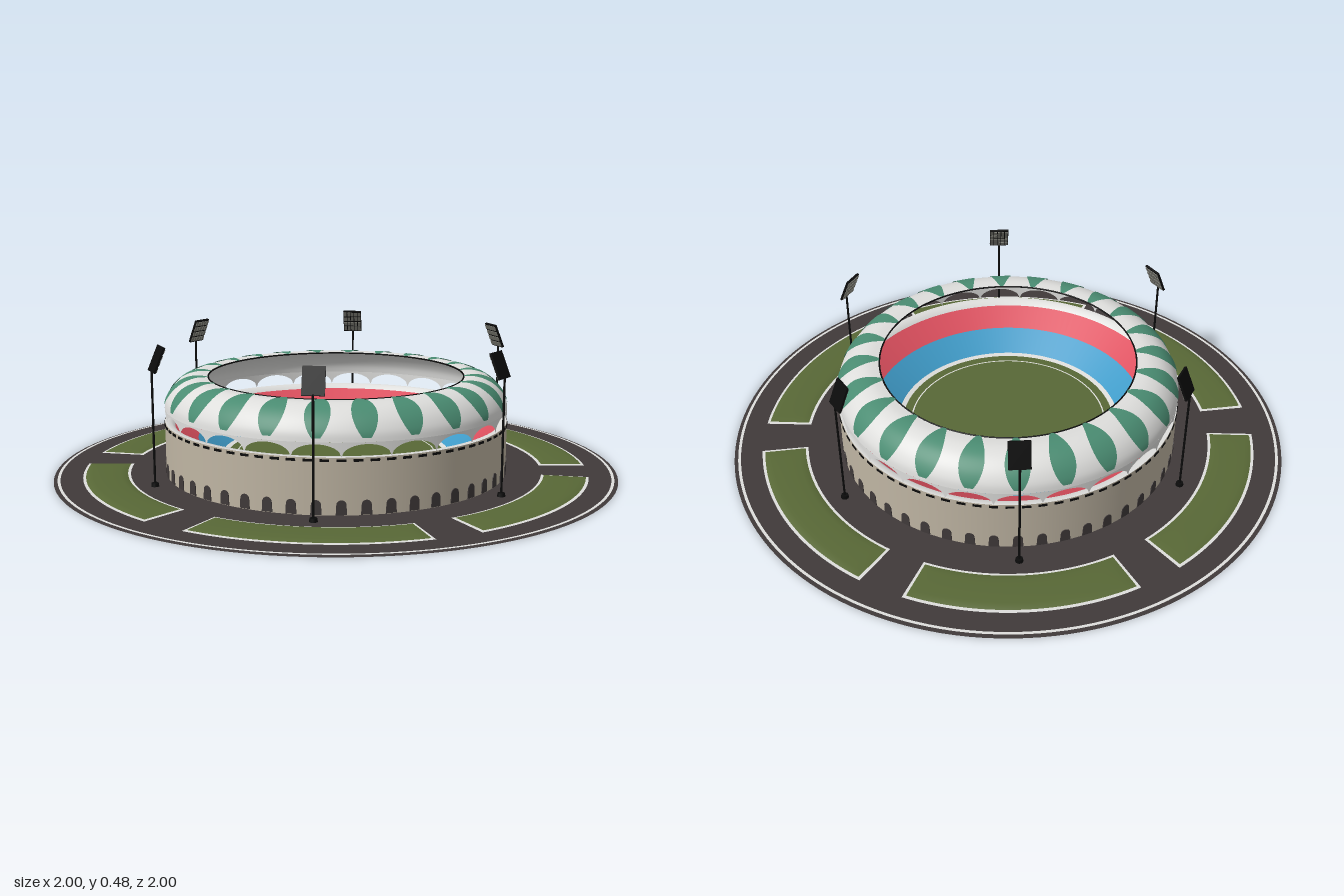
import * as THREE from 'three';

const paint = (name, color, side = THREE.DoubleSide) => {
  const m = new THREE.MeshStandardMaterial({ color, side });
  m.name = name;
  return m;
};
const DEG = Math.PI / 180;

// Point at radius r, height y and angle phi (0 = front, 90 degrees = +x)
const polar = (r, y, phi) => [r * Math.sin(phi), y, r * Math.cos(phi)];

// Grid surface from a rule fn(u, v) -> [x, y, z]
function surface(fn, nu, nv) {
  const pos = [], idx = [];
  for (let j = 0; j <= nv; j++)
    for (let i = 0; i <= nu; i++) pos.push(...fn(i / nu, j / nv));
  for (let j = 0; j < nv; j++)
    for (let i = 0; i < nu; i++) {
      const a = j * (nu + 1) + i, b = a + 1, d = a + nu + 1, c = d + 1;
      idx.push(a, b, d, b, c, d);
    }
  const g = new THREE.BufferGeometry();
  g.setAttribute('position', new THREE.Float32BufferAttribute(pos, 3));
  g.setIndex(idx);
  g.computeVertexNormals();
  return g;
}

// Ring swept from a profile of [radius, height] pairs
const ring = (pts, start = 0, length = 360, segments = 144) =>
  new THREE.LatheGeometry(pts.map(p => new THREE.Vector2(...p)), segments, start * DEG, length * DEG);

export function createModel() {
  const model = new THREE.Group();
  model.name = 'stadium';

  const asphalt = paint('asphalt', 0x403a3a);
  const grass = paint('grass', 0x586836);
  const white = paint('white', 0xdededc);
  const stone = paint('stone', 0xbfb5a3);
  const teal = paint('teal', 0x4a8c72);
  const blue = paint('blue seats', 0x3f9bc8);
  const red = paint('red seats', 0xdc4f5e);
  const black = paint('black', 0x0b0b0b);
  const grey = paint('lamp grey', 0x77776f);

  const add = (name, geometry, material, parent = model) => {
    const mesh = new THREE.Mesh(geometry, material);
    mesh.name = name;
    parent.add(mesh);
    return mesh;
  };
  // Puts count copies round the centre, each in a group turned to its angle
  const around = (name, count, offset, build) => {
    for (let i = 0; i < count; i++) {
      const g = new THREE.Group();
      g.name = name;
      g.rotation.y = (offset + i * 360 / count) * DEG;
      build(g);
      model.add(g);
    }
  };

  // Ground with white edge line
  add('ground', new THREE.CircleGeometry(1, 144).rotateX(-Math.PI / 2), asphalt);
  add('groundEdgeLine', ring([[0.987, 0.003], [0.977, 0.003]]), white);

  // Six lawns with white kerbs and softly rounded tops
  const kerb = ring([[0.9, 0.003], [0.735, 0.003]], -25, 50, 32);
  const bump = t => Math.pow(Math.max(0, Math.sin(Math.PI * t)), 0.35);
  const lawn = surface((u, v) =>
    polar(0.89 - 0.145 * v, 0.005 + 0.007 * bump(u) * bump(v), (-24.3 + 48.6 * u) * DEG), 40, 12);
  around('lawnBed', 6, 30, g => {
    add('kerb', kerb, white, g);
    add('lawn', lawn, grass, g);
  });

  // Outer wall
  add('wall', ring([[0.61, 0], [0.61, 0.187]]), stone);
  add('wallInside', ring([[0.6, 0.187], [0.6, 0.16]]), stone);

  // Arched doorways round the foot of the wall
  const arch = new THREE.Shape();
  arch.moveTo(-0.018, 0);
  arch.lineTo(0.018, 0);
  arch.lineTo(0.016, 0.032);
  arch.absarc(0, 0.032, 0.016, 0, Math.PI, false);
  const doorway = new THREE.ExtrudeGeometry(arch, { depth: 0.004, bevelEnabled: false, curveSegments: 8 });
  around('doorway', 48, 0, g => {
    add('doorwayPanel', doorway, asphalt, g).position.set(0, 0.002, 0.6085);
  });

  // Dashed dark band below the roof
  const dash = new THREE.BoxGeometry(0.03, 0.008, 0.005);
  around('bandDash', 72, 2.5, g => {
    add('dash', dash, black, g).position.set(0, 0.178, 0.61);
  });

  // Pitch and seating bowl
  add('pitch', new THREE.CircleGeometry(0.39, 96).rotateX(-Math.PI / 2), grass).position.y = 0.055;
  add('pitchLine', ring([[0.357, 0.057], [0.352, 0.057]]), white);
  add('pitchBorder', ring([[0.405, 0.06], [0.387, 0.057]]), white);
  add('lowerSeats', ring([[0.494, 0.119], [0.405, 0.06]]), blue);
  add('upperSeats', ring([[0.575, 0.172], [0.494, 0.119]]), red);
  add('bowlRim', ring([[0.61, 0.187], [0.59, 0.187], [0.575, 0.172]]), white);

  // Roof shell
  const R = 0.61, skirtTop = 0.235;
  const profile = new THREE.SplineCurve([
    [R, skirtTop], [0.603, 0.265], [0.58, 0.3], [0.545, 0.327], [0.5, 0.34], [0.455, 0.338],
  ].map(p => new THREE.Vector2(...p)));
  add('roof', new THREE.LatheGeometry(profile.getPoints(20), 144), white);
  add('roofInnerRim', new THREE.TorusGeometry(0.455, 0.003, 6, 144).rotateX(Math.PI / 2), black)
    .position.y = 0.338;

  // Scalloped skirt: one low arch in each 15 degree bay
  const skirt = surface((u, v) => {
    const t = 2 * u - 1;
    const low = 0.187 + 0.042 * Math.sqrt(Math.max(0, 1 - t * t));
    return polar(R, low + (skirtTop - low) * v, t * 7.5 * DEG);
  }, 24, 2);

  // Leaf-shaped stripe lying just above the roof
  const stripe = surface((u, v) => {
    const t = 0.1 + 0.89 * v;
    const p = profile.getPoint(t), d = profile.getTangent(t);
    const half = 4.2 * Math.sin(Math.PI * (0.1 + 0.84 * v));
    return polar(p.x + d.y * 0.003, p.y - d.x * 0.003, (2 * u - 1) * half * DEG);
  }, 6, 24);
  around('roofBay', 24, 0, g => {
    add('skirtArch', skirt, white, g);
    add('roofStripe', stripe, teal, g);
  });

  // Six floodlights leaning in over the roof
  const pole = new THREE.CylinderGeometry(0.004, 0.004, 0.4, 8);
  const foot = new THREE.CylinderGeometry(0.012, 0.014, 0.012, 12);
  const panel = new THREE.BoxGeometry(0.072, 0.092, 0.008);
  const lamp = new THREE.BoxGeometry(0.011, 0.016, 0.004);
  around('floodlight', 6, 30, g => {
    add('pole', pole, black, g).position.set(0, 0.2, 0.675);
    add('foot', foot, black, g).position.set(0, 0.006, 0.675);
    const head = new THREE.Group();
    head.name = 'lampHead';
    head.position.set(0, 0.438, 0.657);
    head.rotation.x = -23 * DEG;
    add('lampPanel', panel, black, head);
    for (let i = 0; i < 5; i++)
      for (let j = 0; j < 4; j++)
        add('lamp', lamp, grey, head).position.set((i - 2) * 0.014, (j - 1.5) * 0.022, -0.005);
    g.add(head);
  });

  return model;
}
